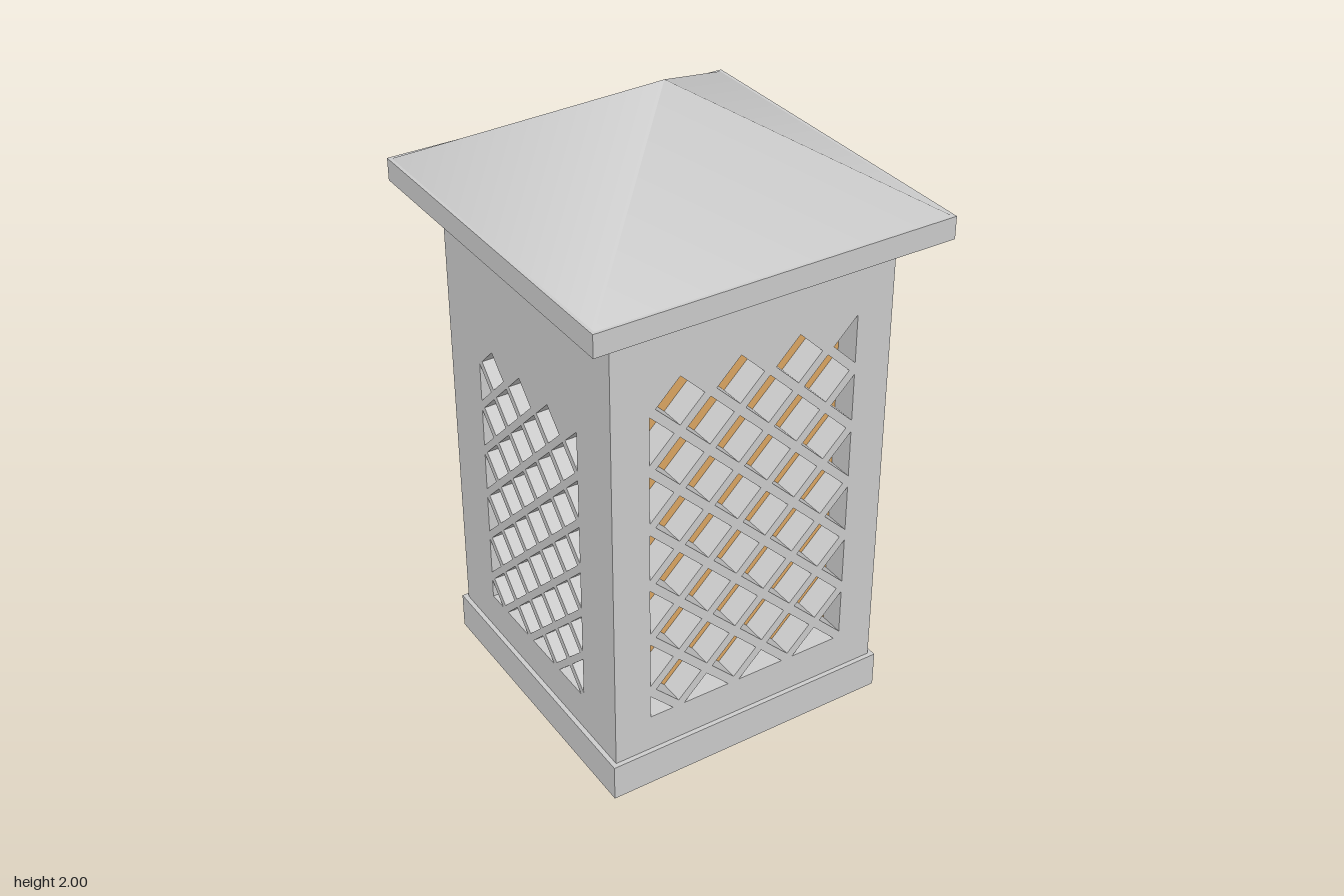
import * as THREE from 'three';

const HALF = 0.46;       // half width of the body
const WALL = 0.08;       // wall thickness
const BOTTOM = 0.12, TOP = 1.61;

const stone = new THREE.MeshStandardMaterial({ color: 0xcccccc });
const amber = new THREE.MeshStandardMaterial({ color: 0xdba662 });

function addMesh(parent, name, geometry, material = stone) {
  const mesh = new THREE.Mesh(geometry, material);
  mesh.name = name;
  parent.add(mesh);
  return mesh;
}

// Square slab between two heights
function slab(half, y0, y1) {
  return new THREE.BoxGeometry(half * 2, y1 - y0, half * 2).translate(0, (y0 + y1) / 2, 0);
}

// Wall pierced by a diamond lattice; diamonds are cut in half at the window's edges
function latticeWall(halfWidth, windowHalf) {
  const shape = new THREE.Shape([
    [-halfWidth, BOTTOM], [halfWidth, BOTTOM], [halfWidth, TOP], [-halfWidth, TOP],
  ].map(([x, y]) => new THREE.Vector2(x, y)));
  const step = windowHalf / 3.5, r = step * 0.8, sill = 0.243;

  for (let row = 0; row < 12; row++) {
    for (let col = row % 2; col < 8; col += 2) {
      const left = col === 0 ? 0 : r, right = col === 7 ? 0 : r, down = row === 0 ? 0 : r;
      const corners = [[right, 0], [0, r], [-left, 0], [0, -down]];
      // The corner diamond is a quarter, so two of its points coincide
      if (!left && !down) corners.pop();
      const cx = -windowHalf + col * step, cy = sill + row * step;
      // Reversed, so that holes wind against the outline
      shape.holes.push(new THREE.Path(
        corners.reverse().map(([x, y]) => new THREE.Vector2(cx + x, cy + y))));
    }
  }
  return new THREE.ExtrudeGeometry(shape, { depth: WALL, bevelEnabled: false })
    .translate(0, 0, HALF - WALL);
}

export function createModel() {
  const lantern = new THREE.Group();
  lantern.name = 'lantern';

  addMesh(lantern, 'base', slab(0.475, 0, BOTTOM));

  // Tall windows front and back, smaller windows on the sides
  const wide = latticeWall(HALF, 0.34);
  const narrow = latticeWall(HALF - WALL, 0.28);
  ['frontWall', 'leftWall', 'backWall', 'rightWall'].forEach((name, i) => {
    addMesh(lantern, name, i % 2 ? narrow : wide).rotation.y = i * Math.PI / 2;
  });

  // Glowing pane box behind the lattice
  addMesh(lantern, 'glowPanes', slab(HALF - WALL - 0.001, BOTTOM, TOP), amber);

  // Eave slab and pyramid roof
  addMesh(lantern, 'eave', slab(0.57, TOP, 1.68));
  const roof = addMesh(lantern, 'roof', new THREE.ConeGeometry(0.56 * Math.SQRT2, 0.32, 4));
  roof.position.y = 1.84;
  roof.rotation.y = Math.PI / 4;

  return lantern;
}
